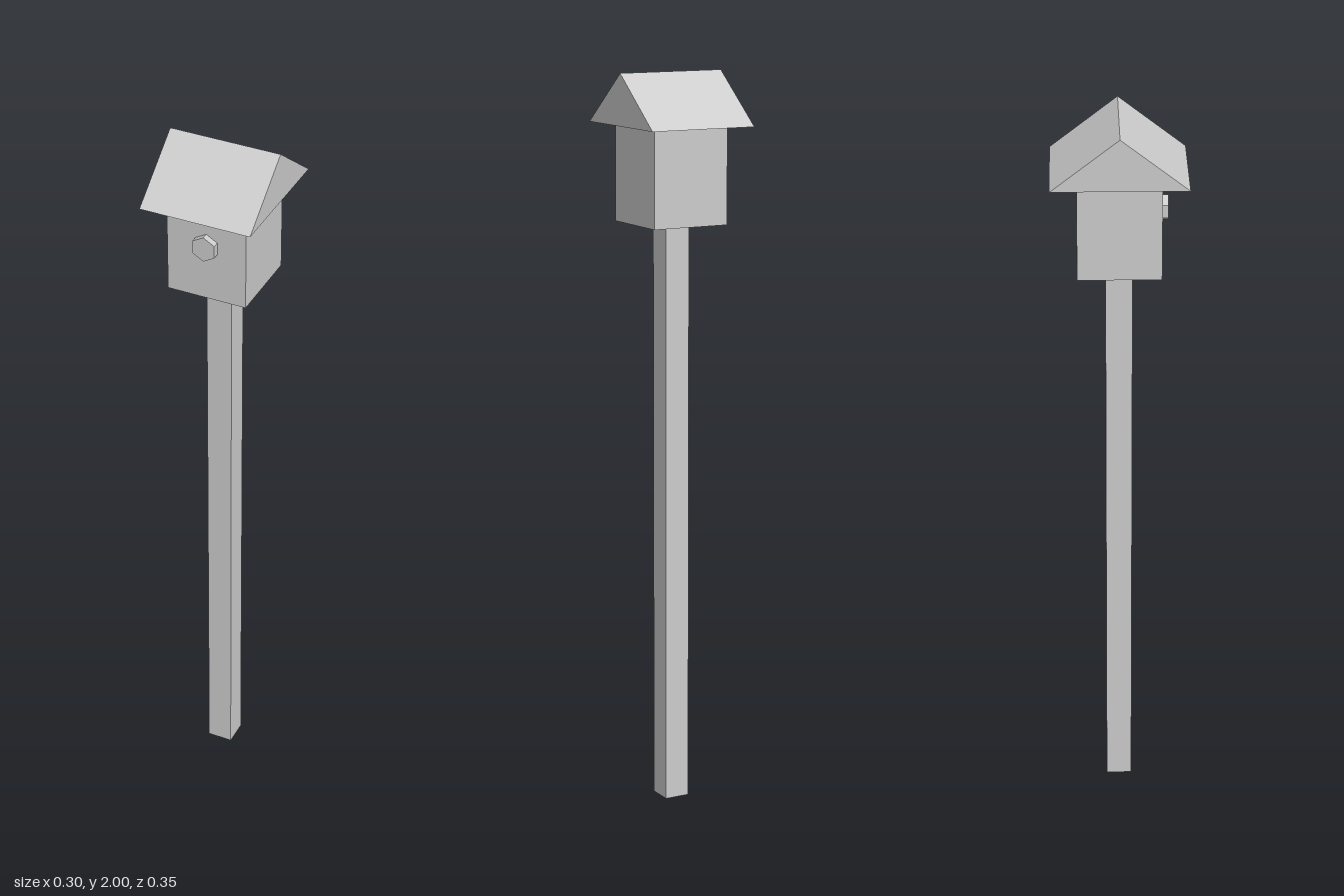
import * as THREE from 'three';

export function createModel() {
  const group = new THREE.Group();
  const grey = new THREE.MeshStandardMaterial({ color: 0xcccccc, flatShading: true });
  grey.name = 'light grey';

  const add = (name, geometry, x = 0, y = 0, z = 0) => {
    const mesh = new THREE.Mesh(geometry, grey);
    mesh.name = name;
    mesh.position.set(x, y, z);
    group.add(mesh);
    return mesh;
  };

  // Square post and the box it carries
  add('post', new THREE.BoxGeometry(0.07, 1.6, 0.07), 0, 0.8, 0);
  add('house', new THREE.BoxGeometry(0.218, 0.265, 0.218), 0, 1.7325, 0);

  // Gabled roof, ridge along x
  const gable = new THREE.Shape([
    new THREE.Vector2(-0.177, 0),
    new THREE.Vector2(0.177, 0),
    new THREE.Vector2(0, 0.138),
  ]);
  const roof = new THREE.ExtrudeGeometry(gable, { depth: 0.302, bevelEnabled: false });
  roof.translate(0, 0, -0.151).rotateY(Math.PI / 2);
  add('roof', roof, 0, 1.862, 0);

  // Six-sided entrance disc on the front wall
  const disc = new THREE.CylinderGeometry(0.035, 0.035, 0.018, 6).rotateX(Math.PI / 2);
  add('entrance', disc, 0, 1.755, 0.118);

  return group;
}
